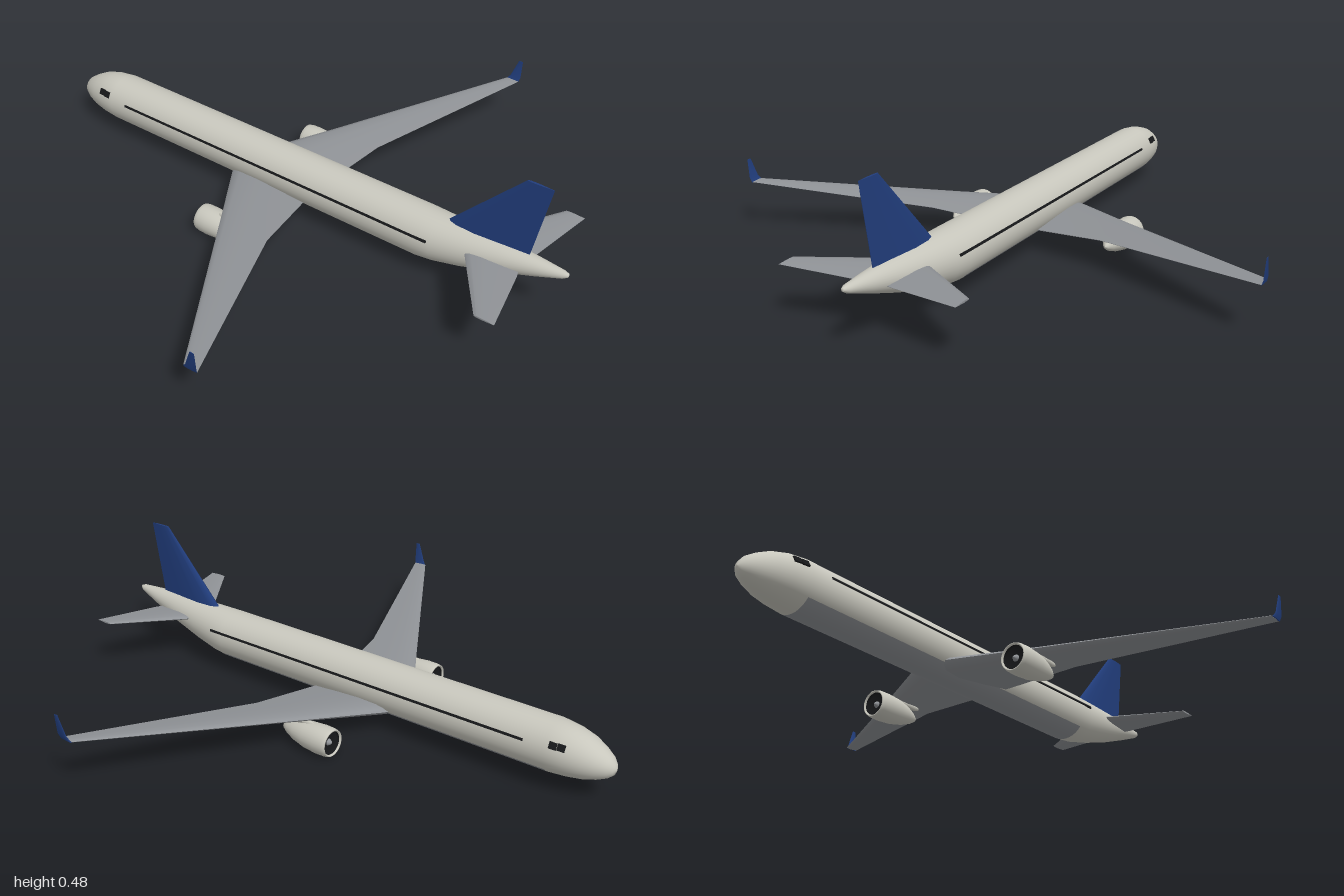
import * as THREE from 'three';
import { toCreasedNormals } from 'three/addons/utils/BufferGeometryUtils.js';

const paint = (name, color) => {
  const m = new THREE.MeshStandardMaterial({ color });
  m.name = name;
  return m;
};

// Lofts closed rings of [x, y, z] points, capped at both ends, faces turned outward.
// pick(ring, side) sorts each strip quad into material 0 or 1.
function loft(rings, pick = () => 0) {
  const n = rings[0].length, pos = rings.flat(2), faces = [[], []];
  for (let i = 0; i < rings.length - 1; i++) {
    for (let j = 0; j < n; j++) {
      const a = i * n + j, b = i * n + (j + 1) % n;
      faces[pick(i, j)].push([a, b, b + n], [a, b + n, a + n]);
    }
  }
  const last = (rings.length - 1) * n;
  for (let j = 1; j < n - 1; j++) {
    faces[0].push([0, j + 1, j], [last, last + j, last + j + 1]);
  }
  // signed volume tells whether the corners run the right way round
  const v = k => new THREE.Vector3().fromArray(pos, k * 3);
  let volume = 0;
  for (const [a, b, c] of faces.flat()) volume += v(a).dot(v(b).cross(v(c)));
  if (volume < 0) faces.flat().forEach(f => f.reverse());
  const g = new THREE.BufferGeometry();
  g.setAttribute('position', new THREE.Float32BufferAttribute(pos, 3));
  g.setIndex(faces.flat(2));
  g.addGroup(0, faces[0].length * 3, 0);
  g.addGroup(faces[0].length * 3, faces[1].length * 3, 1);
  g.computeVertexNormals();
  return g;
}

// Aerofoil outline: fraction of chord, fraction of half thickness
const FOIL = [[0, 0], [0.03, 0.5], [0.12, 0.88], [0.35, 1], [0.65, 0.65], [1, 0.06],
  [1, -0.06], [0.65, -0.65], [0.35, -1], [0.12, -0.88], [0.03, -0.5]];

// Surface from stations [leading x, y, z, chord, half thickness]
function foilSurface(stations, upright = false) {
  const rings = stations.map(([x, y, z, chord, t]) => FOIL.map(([u, w]) =>
    upright ? [x + u * chord, y, z + w * t] : [x + u * chord, y + w * t, z]));
  return toCreasedNormals(loft(rings), 0.7);
}

export function createModel() {
  const white = paint('warmWhite', 0xc8c7bd);
  const grey = paint('wingGrey', 0x8f9296);
  const blue = paint('tailBlue', 0x213d7c);
  const dark = paint('glassBlack', 0x17181a);
  const plane = new THREE.Group();
  plane.name = 'airliner';
  const add = (name, geometry, material, parent = plane) => {
    const mesh = new THREE.Mesh(geometry, material);
    mesh.name = name;
    parent.add(mesh);
    return mesh;
  };

  // Fuselage stations: x, bottom y, top y, half width
  const hull = [
    [-1, 0.116, 0.12, 0.002], [-0.995, 0.101, 0.136, 0.018], [-0.98, 0.087, 0.155, 0.035],
    [-0.95, 0.073, 0.176, 0.053], [-0.91, 0.061, 0.197, 0.069], [-0.86, 0.053, 0.212, 0.08],
    [-0.8, 0.048, 0.22, 0.086], [-0.3, 0.048, 0.22, 0.086], [0.1, 0.048, 0.22, 0.086],
    [0.51, 0.048, 0.22, 0.086], [0.57, 0.054, 0.22, 0.081], [0.66, 0.075, 0.22, 0.07],
    [0.78, 0.11, 0.219, 0.052], [0.9, 0.152, 0.215, 0.031], [0.985, 0.184, 0.21, 0.014],
    [1, 0.194, 0.206, 0.006]];
  const SIDES = 36;
  const rings = hull.map(([x, lo, hi, w]) => Array.from({ length: SIDES }, (_, j) => {
    const a = j / SIDES * Math.PI * 2;
    return [x, (lo + hi) / 2 - Math.cos(a) * (hi - lo) / 2, Math.sin(a) * w];
  }));
  const belly = (i, j) => (i >= 6 && i < 9 && (j < 5 || j >= SIDES - 5) ? 1 : 0);
  add('fuselage', loft(rings, belly), [white, grey]);

  // Fin
  add('fin', foilSurface([[0.575, 0.2, 0, 0.293, 0.017], [0.83, 0.477, 0, 0.085, 0.004]], true), blue);

  for (const s of [1, -1]) {
    const side = new THREE.Group();
    side.name = s > 0 ? 'leftSide' : 'rightSide';
    plane.add(side);

    // Wing with kinked trailing edge, then the upturned tip
    add('wing', foilSurface([
      [-0.27, 0.078, 0, 0.33, 0.022], [-0.22, 0.085, s * 0.085, 0.3, 0.02],
      [-0.072, 0.108, s * 0.32, 0.192, 0.011], [0.305, 0.17, s * 0.925, 0.05, 0.003]]), grey);
    add('winglet', foilSurface([
      [0.305, 0.168, s * 0.925, 0.05, 0.003], [0.318, 0.185, s * 0.931, 0.041, 0.002],
      [0.343, 0.252, s * 0.936, 0.016, 0.001]], true), blue);

    // Tailplane
    add('tailplane', foilSurface([
      [0.64, 0.162, 0, 0.205, 0.011], [0.685, 0.167, s * 0.06, 0.18, 0.009],
      [0.85, 0.183, s * 0.298, 0.066, 0.003]]), grey);

    // Engine, turned so that its axis runs along x
    const engine = new THREE.Group();
    engine.name = 'engine';
    engine.position.set(0, 0.049, s * 0.295);
    side.add(engine);
    const turned = (name, profile, material) => {
      const pts = profile.map(([x, r]) => new THREE.Vector2(r, -x));
      const g = new THREE.LatheGeometry(pts, 28);
      g.rotateZ(Math.PI / 2);
      add(name, g, material, engine);
    };
    turned('nacelle', [[0.028, 0], [0.022, 0.009], [0, 0.022], [-0.035, 0.035], [-0.08, 0.045],
      [-0.13, 0.049], [-0.165, 0.048], [-0.177, 0.045], [-0.178, 0.042], [-0.172, 0.039]], white);
    turned('intake', [[-0.172, 0.039], [-0.16, 0.038], [-0.16, 0]], dark);
    turned('spinner', [[-0.159, 0.012], [-0.168, 0.007], [-0.173, 0]], grey);
    const pylon = add('pylon', new THREE.SphereGeometry(1, 16, 10), white, engine);
    pylon.scale.set(0.075, 0.014, 0.012);
    pylon.position.set(-0.03, 0.043, 0);

    // Cabin window line and cockpit windows as thin plates
    const cabin = add('cabinWindows', new THREE.BoxGeometry(1.29, 0.008, 0.005), dark, side);
    cabin.position.set(-0.085, 0.162, s * 0.081);
    cabin.rotation.x = -s * 0.33;
    for (let i = 0; i < 2; i++) {
      const pane = add('cockpitWindow', new THREE.BoxGeometry(0.024, 0.022, 0.007), dark, side);
      pane.position.set(-0.852 + i * 0.026, 0.172, s * (0.071 + i * 0.0035));
      pane.rotation.set(-s * 0.5, -s * 0.12, 0);
    }
  }
  return plane;
}
